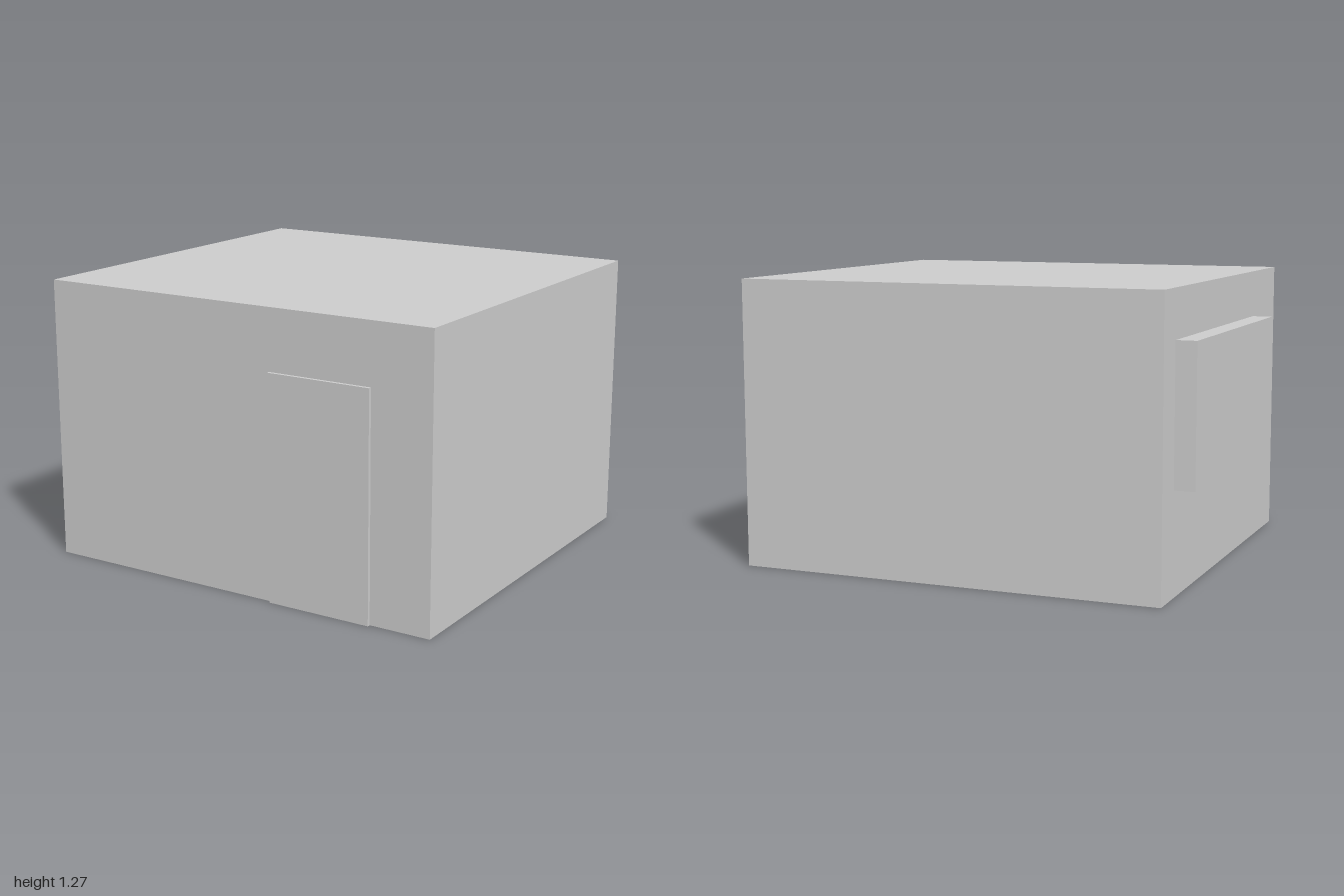
import * as THREE from 'three';

const material = new THREE.MeshStandardMaterial({ color: 0xcccccc, flatShading: true });

// Box given by its minimum and maximum corners
function box(name, min, max) {
  const size = max.map((v, i) => v - min[i]);
  const mesh = new THREE.Mesh(new THREE.BoxGeometry(...size), material);
  mesh.position.set(...max.map((v, i) => (v + min[i]) / 2));
  mesh.name = name;
  return mesh;
}

export function createModel() {
  const group = new THREE.Group();
  group.name = 'building';
  group.add(
    // Main block with flat roof
    box('walls', [-0.91, 0, -0.9], [1, 1.27, 0.885]),
    // Thin door slab on the front
    box('door', [0.235, 0, 0.87], [0.72, 1, 0.9]),
    // Projecting window on the right side
    box('window', [-1, 0.45, -0.745], [-0.89, 1.06, 0.48]),
  );
  return group;
}
